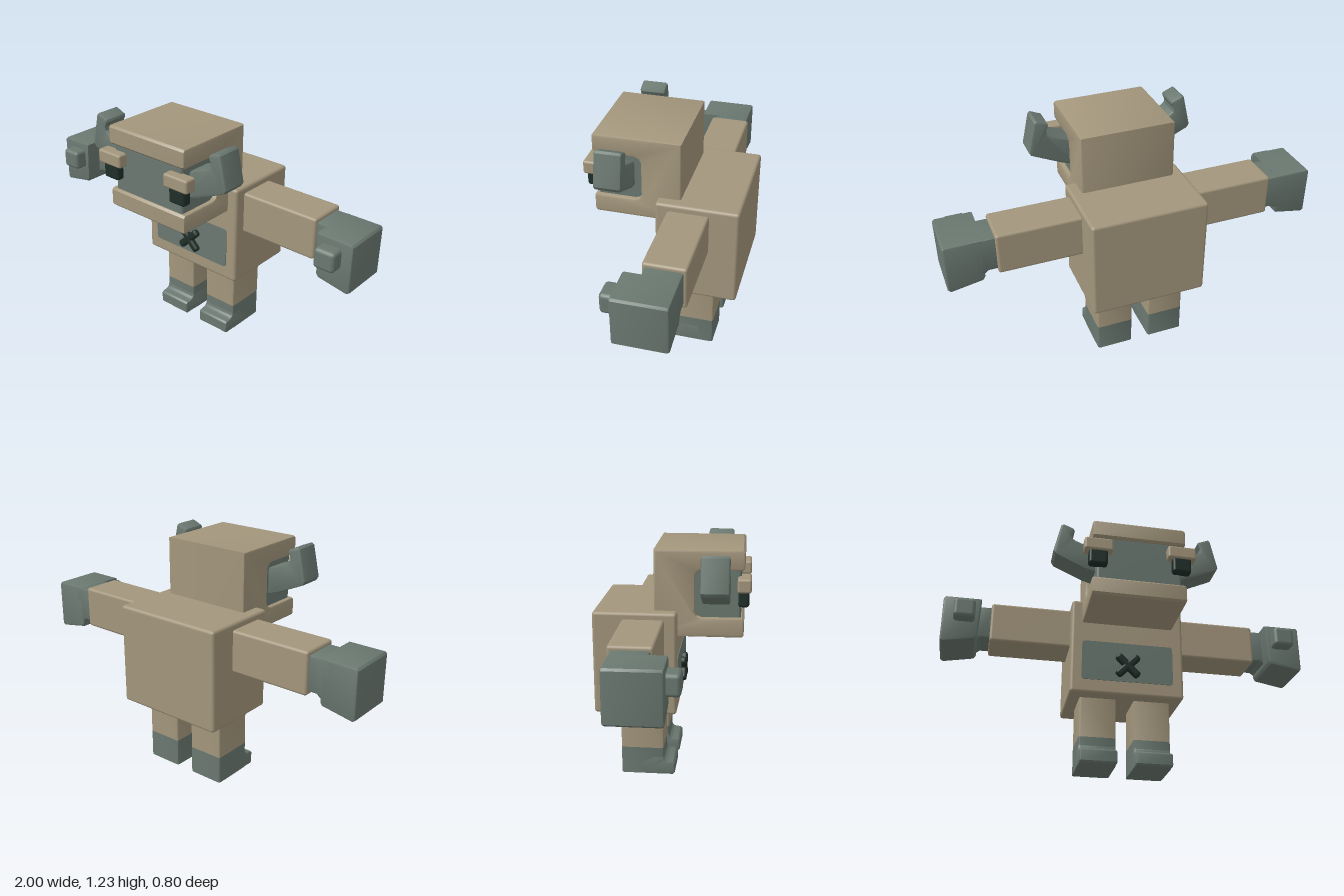
import * as THREE from 'three';
import { toCreasedNormals } from 'three/addons/utils/BufferGeometryUtils.js';
import { RoundedBoxGeometry } from 'three/addons/geometries/RoundedBoxGeometry.js';

const material = (name, color) => {
  const m = new THREE.MeshStandardMaterial({ color });
  m.name = name;
  return m;
};

export function createModel() {
  const tan = material('tan', 0xa3967c);
  const slate = material('slate', 0x6a7870);
  const dark = material('dark green', 0x1f2e29);
  const model = new THREE.Group();

  const add = (name, geometry, mat, parent = model) => {
    const mesh = new THREE.Mesh(geometry, mat);
    mesh.name = name;
    parent.add(mesh);
    return mesh;
  };

  // Box given by its ranges, with softened edges
  const box = (name, mat, [x0, x1], [y0, y1], [z0, z1], r = 0.014, parent = model) => {
    const g = new RoundedBoxGeometry(x1 - x0, y1 - y0, z1 - z0, 2, r);
    g.translate((x0 + x1) / 2, (y0 + y1) / 2, (z0 + z1) / 2);
    return add(name, g, mat, parent);
  };

  // Polygon extruded along z from z0 to z1, with bevelled edges
  const slab = (points, z0, z1, b = 0.012) => {
    const shape = new THREE.Shape(points.map(([x, y]) => new THREE.Vector2(x, y)));
    const g = new THREE.ExtrudeGeometry(shape, {
      depth: z1 - z0 - 2 * b, bevelEnabled: b > 0, bevelThickness: b,
      bevelSize: b, bevelOffset: -b, bevelSegments: 2,
    });
    g.translate(0, 0, z0 + b);
    return toCreasedNormals(g, 0.6);
  };

  // Side profile of [z, y] points, extruded across x
  const sideSlab = (points, x0, x1, b) => slab(points, -x1, -x0, b).rotateY(-Math.PI / 2);

  // Rectangle with rounded corners, as points
  const roundRect = (x0, x1, y0, y1, r) => {
    const corners = [[x1 - r, y1 - r], [x0 + r, y1 - r], [x0 + r, y0 + r], [x1 - r, y0 + r]];
    return corners.flatMap(([cx, cy], i) => [0, 1, 2].map((k) => {
      const a = (i + k / 2) * Math.PI / 2;
      return [cx + r * Math.cos(a), cy + r * Math.sin(a)];
    }));
  };

  // Torso with belly patch and crossed bars
  box('torso', tan, [-0.31, 0.31], [0.375, 0.92], [-0.4, 0.03], 0.016);
  add('bellyPatch', slab(roundRect(-0.25, 0.25, 0.45, 0.675, 0.015), 0.026, 0.034, 0), slate);
  for (const s of [-1, 1]) {
    const bar = add('bellyCrossBar', new RoundedBoxGeometry(0.165, 0.042, 0.04, 2, 0.015), dark);
    bar.position.set(0, 0.54, 0.042);
    bar.rotation.z = s * Math.PI / 4;
  }

  // Head: C-shaped shell around a recessed face
  add('headShell', sideSlab([
    [-0.09, 0.785], [0.355, 0.785], [0.366, 0.796], [0.366, 0.875], [0.355, 0.886],
    [0.15, 0.886], [0.127, 0.895], [0.116, 0.915], [0.116, 1.10], [0.127, 1.12], [0.15, 1.13],
    [0.355, 1.13], [0.366, 1.141], [0.366, 1.22], [0.355, 1.231], [-0.09, 1.231],
  ], -0.253, 0.253), tan);
  box('face', slate, [-0.228, 0.228], [0.86, 1.15], [0.05, 0.35]);

  // Paired parts are built on the +x side, then again with x mirrored
  for (const s of [1, -1]) {
    const range = (a, b) => (s > 0 ? [a, b] : [-b, -a]);
    const mirror = (pts) => (s > 0 ? pts : pts.map(([x, y]) => [-x, y]).reverse());

    const side = new THREE.Group();
    side.name = s > 0 ? 'leftParts' : 'rightParts';
    model.add(side);

    // Ear, bent upward at its tip
    add('ear', slab(mirror([
      [0.20, 0.945], [0.28, 0.967], [0.44, 1.04], [0.452, 1.06], [0.415, 1.225],
      [0.402, 1.234], [0.345, 1.21], [0.341, 1.198], [0.355, 1.17], [0.352, 1.15],
      [0.335, 1.136], [0.20, 1.085],
    ]), 0.155, 0.296), slate, side);

    // Brow and eye
    box('brow', tan, range(0.147, 0.3), [1.028, 1.1], [0.33, 0.4], 0.012, side);
    box('eye', dark, range(0.174, 0.274), [0.95, 1.05], [0.335, 0.39], 0.014, side);

    // Arm and hand
    box('arm', tan, range(0.28, 0.745), [0.66, 0.885], [-0.248, -0.032], 0.014, side);
    add('wrist', slab(mirror([
      [0.735, 0.68], [0.79, 0.68], [0.808, 0.665], [0.86, 0.66], [0.86, 0.865], [0.735, 0.865],
    ]), -0.232, -0.045), slate, side);
    add('fist', slab(mirror([
      [0.81, 0.645], [0.822, 0.628], [0.985, 0.598], [1.0, 0.61],
      [1.0, 0.855], [0.99, 0.866], [0.8, 0.866],
    ]), -0.232, 0.042), slate, side);
    box('thumb', slate, range(0.828, 0.942), [0.72, 0.828], [0, 0.11], 0.02, side);

    // Leg and boot share one column, with a low toe in front
    const [x0, x1] = range(0.048, 0.247);
    const column = (y0, y1) =>
      slab(roundRect(x0, x1, 0.045, 0.272, 0.012), y0, y1, 0).rotateX(-Math.PI / 2);
    add('leg', column(0.155, 0.4), tan, side);
    add('boot', column(0.004, 0.155), slate, side);
    add('bootToe', sideSlab([
      [-0.2, 0], [0.005, 0], [0.015, 0.01], [0.015, 0.066], [0.006, 0.075],
      [-0.028, 0.079], [-0.041, 0.09], [-0.046, 0.11], [-0.2, 0.11],
    ], x0, x1, 0.01), slate, side);
  }

  return model;
}
